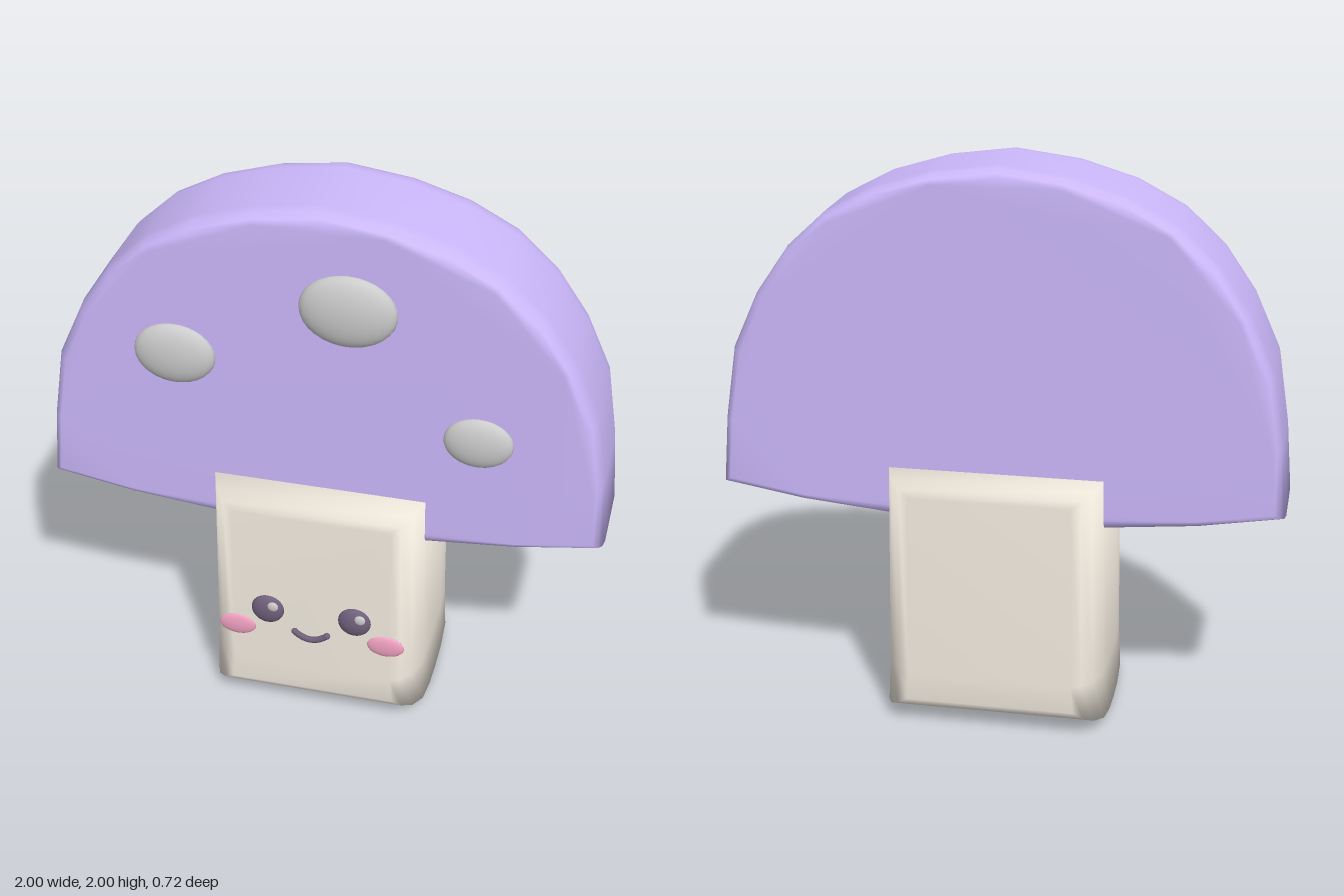
import * as THREE from 'three';
import { mergeVertices } from 'three/addons/utils/BufferGeometryUtils.js';

const mat = (color) => new THREE.MeshStandardMaterial({ color });
const purple = mat(0xcbb8fb), cream = mat(0xf3ece0), grey = mat(0xcccccc);
const dark = mat(0x70607c), pink = mat(0xf2a2c2);
const MID_Z = -0.015;

function add(parent, name, geometry, material) {
  const mesh = new THREE.Mesh(geometry, material);
  mesh.name = name;
  parent.add(mesh);
  return mesh;
}

function ellipsoid(parent, name, material, [x, y, z], [rx, ry, rz]) {
  const mesh = add(parent, name, new THREE.SphereGeometry(1, 24, 16), material);
  mesh.position.set(x, y, z);
  mesh.scale.set(rx, ry, rz);
}

// Share vertices so that normals blend over the bevels
function smooth(geometry) {
  geometry.deleteAttribute('normal');
  geometry.deleteAttribute('uv');
  const merged = mergeVertices(geometry, 1e-4);
  merged.computeVertexNormals();
  return merged;
}

// Cap: a thick half-dome slab with a sagging lower edge
function capGeometry() {
  const right = [[0.385, 0.74], [0.7, 0.77], [1, 0.82], [0.98, 1.07], [0.94, 1.33],
    [0.85, 1.53], [0.74, 1.69], [0.6, 1.82], [0.43, 1.91], [0.23, 1.97]];
  const left = right.map(([x, y]) => [-x, y]).reverse();
  const outline = [[0, 0.73], ...right, [0, 2], ...left];
  const shape = new THREE.Shape(outline.map(([x, y]) => new THREE.Vector2(x, y)));
  const depth = 0.27;
  const geometry = new THREE.ExtrudeGeometry(shape, {
    depth, bevelEnabled: true, bevelThickness: 0.08, bevelSize: 0.035,
    bevelOffset: -0.035, bevelSegments: 3,
  });
  geometry.translate(0, 0, MID_Z - depth / 2);
  return smooth(geometry);
}

// Stem: tapered cross-sections from back to front, inset near both ends
function stemGeometry() {
  const half = [[0.345, 0.1, 0.1, 0.87], [0.33, 0.065, 0.075, 0.895], [0.29, 0.03, 0.05, 0.915],
    [0.22, 0.005, 0.028, 0.93], [0.11, 0, 0.008, 0.93]]; // z, inset, bottom, top
  const layers = [
    ...half.map(([z, ...rest]) => [-z, ...rest]),
    [0, 0, 0, 0.93],
    ...[...half].reverse(),
  ];
  const positions = [], index = [], n = 6;
  for (const [z, inset, bottom, top] of layers) {
    const b = 0.4 - inset, m = 0.392 - inset, t = 0.383 - inset, my = 0.2;
    for (const [x, y] of [[-b, bottom], [b, bottom], [m, my], [t, top], [-t, top], [-m, my]]) {
      positions.push(x, y, z + MID_Z);
    }
  }
  for (let i = 0; i < layers.length - 1; i++) {
    for (let j = 0; j < n; j++) {
      const a = i * n + j, b = i * n + (j + 1) % n;
      index.push(a, b, b + n, a, b + n, a + n);
    }
  }
  const front = (layers.length - 1) * n;
  for (const [a, b, c] of [[0, 1, 2], [0, 2, 5], [5, 2, 3], [5, 3, 4]]) {
    index.push(front + a, front + b, front + c, a, c, b);
  }
  const geometry = new THREE.BufferGeometry();
  geometry.setAttribute('position', new THREE.Float32BufferAttribute(positions, 3));
  geometry.setIndex(index);
  geometry.computeVertexNormals();
  return geometry;
}

export function createModel() {
  const model = new THREE.Group();
  model.name = 'mushroom';
  add(model, 'cap', capGeometry(), purple);
  add(model, 'stem', stemGeometry(), cream);

  // Domed spots on the front of the cap
  const spots = [[0.1, 1.66, 0.168, 0.133, 0.052], [-0.505, 1.41, 0.144, 0.115, 0.045],
    [0.552, 1.21, 0.12, 0.096, 0.038]];
  for (const [x, y, rx, ry, rz] of spots) {
    ellipsoid(model, 'spot', grey, [x, y, 0.2], [rx, ry, rz]);
  }

  // Face
  const face = new THREE.Group();
  face.name = 'face';
  model.add(face);
  for (const side of [-1, 1]) {
    ellipsoid(face, 'eye', dark, [side * 0.16, 0.453, 0.33], [0.06, 0.06, 0.025]);
    ellipsoid(face, 'eyeHighlight', grey, [side * 0.16 + 0.024, 0.48, 0.35], [0.02, 0.02, 0.008]);
    ellipsoid(face, 'cheek', pink, [side * 0.275, 0.36, 0.33], [0.068, 0.044, 0.012]);
  }
  const smile = new THREE.QuadraticBezierCurve3(
    new THREE.Vector3(-0.06, 0.37, 0.335),
    new THREE.Vector3(0, 0.315, 0.335),
    new THREE.Vector3(0.06, 0.37, 0.335),
  );
  add(face, 'mouth', new THREE.TubeGeometry(smile, 16, 0.012, 8), dark);
  for (const x of [-0.06, 0.06]) {
    ellipsoid(face, 'mouthCorner', dark, [x, 0.37, 0.335], [0.012, 0.012, 0.012]);
  }
  return model;
}
